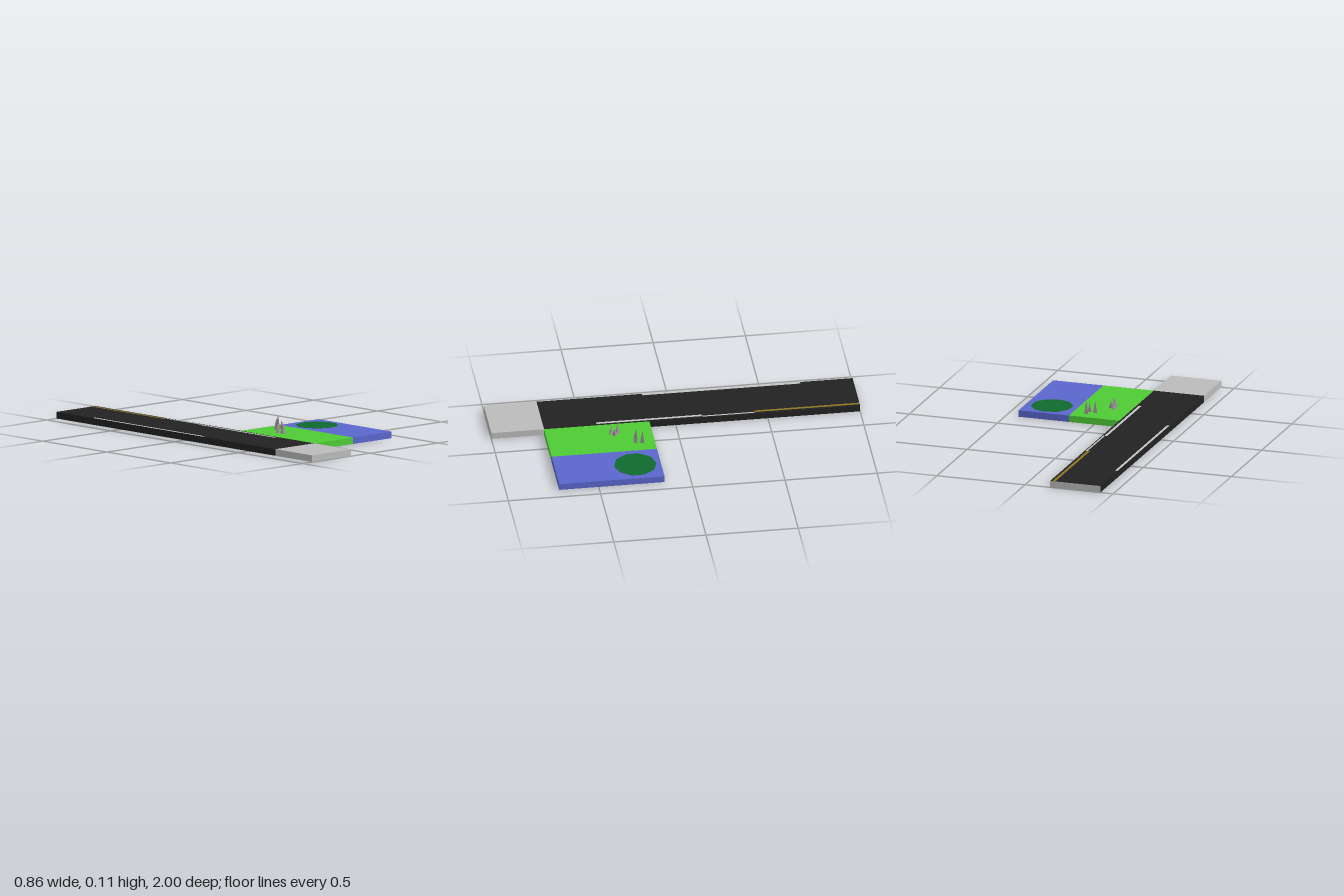
import * as THREE from 'three';

const T = 2 / 7;      // tile size
const H = 0.036;      // tile thickness

function mat(name, color) {
  const m = new THREE.MeshStandardMaterial({ color });
  m.name = name;
  return m;
}

export function createModel() {
  const model = new THREE.Group();
  model.name = 'tileLandscape';

  const asphalt = mat('asphalt', 0x222222);
  const concrete = mat('concrete', 0xbbbbbb);
  const grass = mat('grass', 0x4fcb35);
  const water = mat('water', 0x5a66cc);
  const leaf = mat('darkGreen', 0x0f6a2e);
  const yellow = mat('yellowPaint', 0x8f7420);
  const white = mat('whitePaint', 0xc4c4c4);
  const stone = mat('stone', 0x9c9099);

  // Box given by its limits
  function block(name, material, x0, x1, z0, z1, y0 = 0, y1 = H) {
    const mesh = new THREE.Mesh(new THREE.BoxGeometry(x1 - x0, y1 - y0, z1 - z0), material);
    mesh.position.set((x0 + x1) / 2, (y0 + y1) / 2, (z0 + z1) / 2);
    mesh.name = name;
    model.add(mesh);
    return mesh;
  }

  // Road: six tiles from the back, some with a concrete underside
  const concreteBelow = [true, false, true, true, false, false];
  concreteBelow.forEach((bare, i) => {
    const under = bare ? concrete : asphalt;
    const back = i === 0 ? concrete : asphalt;
    block('roadTile', [asphalt, asphalt, asphalt, under, asphalt, back],
      -1.5 * T, -0.5 * T, -1 + i * T, -1 + (i + 1) * T);
  });
  block('pavementTile', concrete, -1.5 * T, -0.5 * T, 1 - T, 1);

  // Grass and water, two tiles long
  block('grassField', grass, -0.5 * T, 0.5 * T, 0.5 * T, 2.5 * T);
  block('waterField', water, 0.5 * T, 1.5 * T, 0.5 * T, 2.5 * T);

  // Painted lines, on both the top and the underside of the road
  const lines = [
    ['yellowLine', yellow, -0.172, -0.157, -1, -1.5 * T],
    ['leftEdgeLine', white, -0.427, -0.413, -2.5 * T, 0.5 * T],
    ['backEdgeLine', white, -0.159, -0.15, -1.5 * T, -0.5 * T],
    ['frontEdgeLine', white, -0.171, -0.156, -0.5 * T, 1.5 * T],
  ];
  for (const [name, m, x0, x1, z0, z1] of lines) {
    block(name, m, x0, x1, z0, z1, H - 0.001, H + 0.001);
    block(name + 'Below', m, x0, x1, z0, z1, -0.0005, 0.001);
  }

  // Ten-sided green island lying on the water
  const island = new THREE.Mesh(new THREE.CylinderGeometry(0.115, 0.115, 0.004, 10), leaf);
  island.position.set(T, H - 0.001, 0.281);
  island.name = 'island';
  model.add(island);

  // Three-sided stone spikes: x, z, height, turn
  const spikes = [
    [0.026, 0.24, 0.066, 0], [0.06, 0.246, 0.048, 0], [0.066, 0.21, 0.076, 0],
    [-0.048, 0.33, 0.066, Math.PI], [-0.043, 0.366, 0.056, Math.PI], [-0.028, 0.347, 0.038, Math.PI / 2],
  ];
  for (const [x, z, h, turn] of spikes) {
    const geo = new THREE.ConeGeometry(0.014, h, 3).toNonIndexed();
    geo.computeVertexNormals();
    const spike = new THREE.Mesh(geo, stone);
    spike.position.set(x, H + h / 2, z);
    spike.rotation.y = turn;
    spike.name = 'stoneSpike';
    model.add(spike);
  }

  return model;
}
